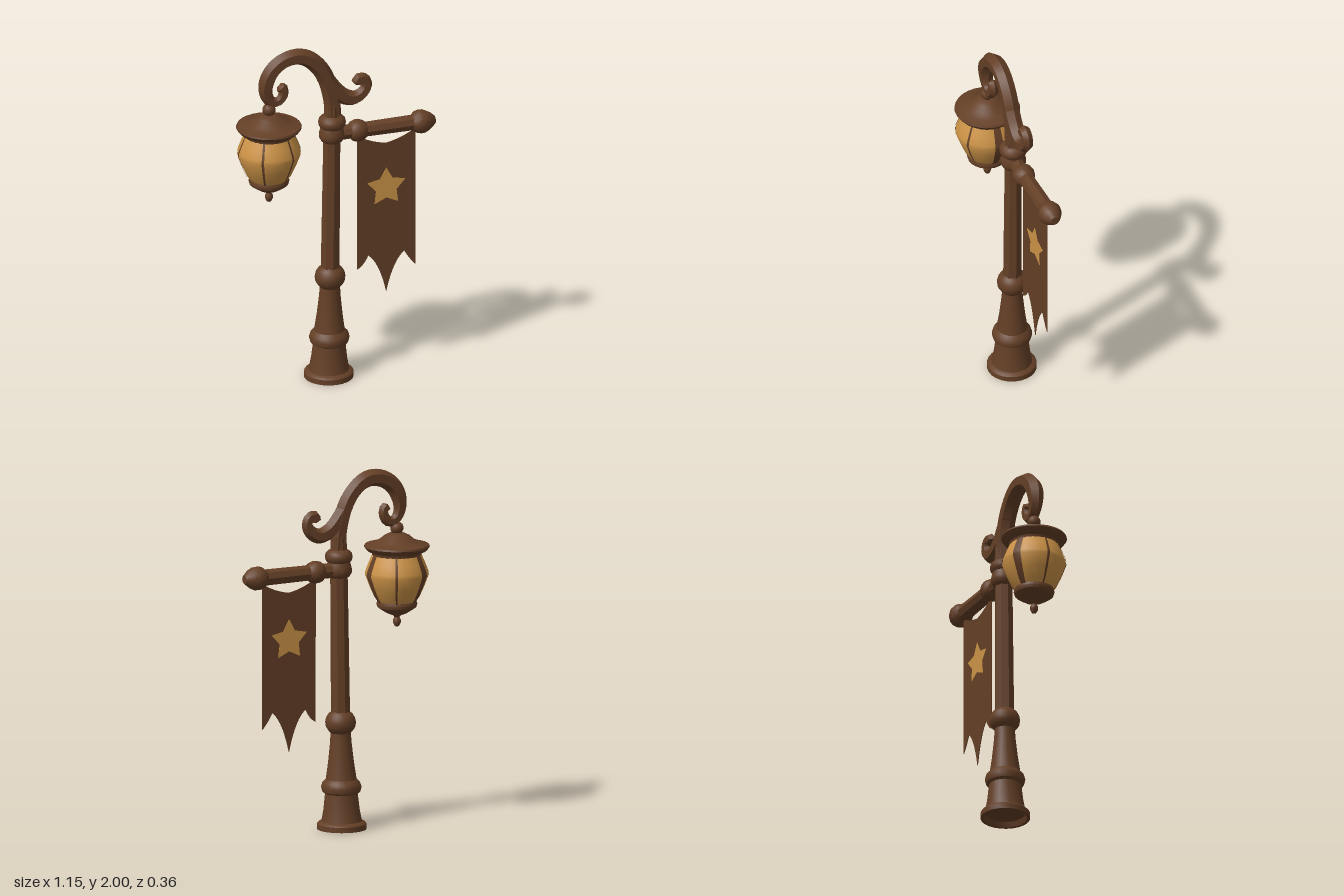
import * as THREE from 'three';
import { toCreasedNormals } from 'three/addons/utils/BufferGeometryUtils.js';

const brown = new THREE.MeshStandardMaterial({ color: 0x643f26, side: THREE.DoubleSide });
brown.name = 'dark brown';
const gold = new THREE.MeshStandardMaterial({ color: 0xcc9347, side: THREE.DoubleSide });
gold.name = 'warm gold';

const CREASE = 0.62;

function part(name, geometry, material = brown) {
  const mesh = new THREE.Mesh(toCreasedNormals(geometry, CREASE), material);
  mesh.name = name;
  return mesh;
}

// Profile of [radius, height] pairs, listed from bottom to top
function turned(profile, sides, start = 0, length = Math.PI * 2) {
  const points = profile.map(([r, y]) => new THREE.Vector2(r, y));
  return new THREE.LatheGeometry(points, sides, start, length);
}

// The post leans very slightly towards +x
function lean(geometry) {
  const p = geometry.attributes.position;
  for (let i = 0; i < p.count; i++) p.setX(i, p.getX(i) - 0.045 + 0.0125 * p.getY(i));
  return geometry;
}

// Six-sided bar swept along a flat curve, with a ridge on its outer edge
function sweep(path, steps, radiusAt) {
  const curve = new THREE.CatmullRomCurve3(path.map(([x, y]) => new THREE.Vector3(x, y, 0)));
  const sides = 6, pos = [], index = [];
  for (let i = 0; i <= steps; i++) {
    const t = i / steps, c = curve.getPointAt(t), d = curve.getTangentAt(t), r = radiusAt(t);
    for (let j = 0; j < sides; j++) {
      const a = (j / sides) * Math.PI * 2, n = Math.cos(a) * r;
      pos.push(c.x - d.y * n, c.y + d.x * n, Math.sin(a) * r);
    }
  }
  for (let i = 0; i < steps; i++) {
    for (let j = 0; j < sides; j++) {
      const a = i * sides + j, b = i * sides + ((j + 1) % sides);
      index.push(a, b, a + sides, b, b + sides, a + sides);
    }
  }
  // Blunt pointed tip
  const tip = curve.getPointAt(1).addScaledVector(curve.getTangentAt(1), 0.015);
  pos.push(tip.x, tip.y, 0);
  for (let j = 0; j < sides; j++) {
    index.push(steps * sides + j, steps * sides + ((j + 1) % sides), (steps + 1) * sides);
  }
  const g = new THREE.BufferGeometry();
  g.setAttribute('position', new THREE.Float32BufferAttribute(pos, 3));
  g.setIndex(index);
  return g;
}

function plate(shape, depth) {
  return new THREE.ExtrudeGeometry(shape, { depth, bevelEnabled: false }).translate(0, 0, -depth / 2);
}

function createPost() {
  const post = new THREE.Group();
  post.name = 'post';
  post.add(part('base', lean(turned([
    [0, 0.03], [0.11, 0.03], [0.12, 0], [0.137, 0], [0.137, 0.03], [0.128, 0.04], [0.112, 0.045],
    [0.1, 0.11], [0.09, 0.2], [0.105, 0.21], [0.112, 0.235], [0.105, 0.26], [0.085, 0.28],
    [0.072, 0.37], [0.06, 0.48], [0.056, 0.54], [0.07, 0.555], [0.082, 0.575], [0.085, 0.6],
    [0.08, 0.625], [0.068, 0.645], [0.05, 0.66],
  ], 24))));
  post.add(part('column', lean(turned([[0.055, 0.6], [0.05, 1.42], [0.046, 1.64], [0, 1.66]], 8))));
  post.add(part('collar', lean(turned([
    [0.045, 1.41], [0.06, 1.42], [0.071, 1.44], [0.072, 1.46], [0.066, 1.485], [0.062, 1.498],
    [0.073, 1.51], [0.077, 1.53], [0.072, 1.55], [0.06, 1.562], [0.045, 1.57],
  ], 24))));
  return post;
}

function createArm() {
  const arm = new THREE.Group();
  arm.name = 'arm';
  arm.add(part('archAndHook', sweep([
    [-0.026, 1.42], [-0.022, 1.59], [-0.035, 1.7], [-0.07, 1.815], [-0.125, 1.895], [-0.185, 1.94],
    [-0.245, 1.952], [-0.32, 1.932], [-0.378, 1.883], [-0.41, 1.815], [-0.41, 1.75], [-0.385, 1.705],
    [-0.345, 1.695], [-0.314, 1.725], [-0.31, 1.765], [-0.327, 1.782],
  ], 56, t => 0.048 - 0.018 * THREE.MathUtils.smoothstep(t, 0.72, 0.9))));
  arm.add(part('rearScroll', sweep([
    [-0.075, 1.815], [-0.035, 1.755], [0.005, 1.705], [0.045, 1.672], [0.098, 1.656],
    [0.147, 1.677], [0.174, 1.72], [0.16, 1.762], [0.128, 1.768], [0.118, 1.745],
  ], 34, t => 0.046 - 0.014 * THREE.MathUtils.smoothstep(t, 0.4, 0.85))));
  return arm;
}

function createLantern() {
  const lantern = new THREE.Group();
  lantern.name = 'lantern';
  lantern.position.x = -0.394;

  const hanger = new THREE.SphereGeometry(0.037, 16, 10).translate(0, 1.655, 0);
  lantern.add(part('hangerBall', hanger));
  lantern.add(part('roof', turned([
    [0, 1.5], [0.135, 1.5], [0.14, 1.52], [0.165, 1.53], [0.182, 1.552], [0.178, 1.562],
    [0.14, 1.57], [0.1, 1.588], [0.07, 1.613], [0.045, 1.625], [0, 1.635],
  ], 28)));

  const glass = [[0.1, 1.235], [0.125, 1.27], [0.152, 1.33], [0.176, 1.395], [0.174, 1.415], [0.155, 1.465], [0.135, 1.51]];
  lantern.add(part('glass', turned(glass, 24), gold));

  // Six upright ribs follow the glass
  const ribProfile = glass.map(([r, y]) => [r + 0.003, y]);
  for (let i = 0; i < 6; i++) {
    const angle = Math.PI / 6 + (i * Math.PI) / 3;
    const width = i === 1 || i === 3 ? 0.28 : 0.08;
    lantern.add(part('rib', turned(ribProfile, 2, angle - width / 2, width)));
  }

  lantern.add(part('bottomCap', turned([
    [0, 1.1], [0.013, 1.105], [0.022, 1.125], [0.022, 1.14], [0.014, 1.155], [0.022, 1.165],
    [0.055, 1.178], [0.09, 1.2], [0.108, 1.213], [0.113, 1.23], [0.108, 1.246], [0.09, 1.25],
  ], 24)));
  return lantern;
}

function createBanner() {
  const banner = new THREE.Group();
  banner.name = 'banner';

  // Crossbar parts are turned upright, then laid along x
  const along = (profile, sides) => turned(profile, sides).rotateZ(-Math.PI / 2).translate(0, 1.455, 0);
  banner.add(part('crossbar', along([[0.042, -0.03], [0.046, 0.47]], 8)));
  banner.add(part('barRing', along([
    [0.042, 0.078], [0.055, 0.09], [0.062, 0.11], [0.063, 0.13], [0.055, 0.155], [0.044, 0.17],
  ], 16)));
  banner.add(part('barKnob', along([
    [0.044, 0.44], [0.06, 0.46], [0.067, 0.485], [0.065, 0.51], [0.053, 0.535], [0.043, 0.55], [0.024, 0.572], [0, 0.572],
  ], 12)));

  // Cloth with a sagging top and a three-pointed hem
  const cloth = new THREE.Shape();
  cloth.moveTo(0.12, 1.42);
  cloth.quadraticCurveTo(0.2, 1.37, 0.29, 1.355);
  cloth.quadraticCurveTo(0.38, 1.37, 0.46, 1.42);
  cloth.lineTo(0.46, 0.6);
  cloth.quadraticCurveTo(0.425, 0.635, 0.395, 0.69);
  cloth.quadraticCurveTo(0.33, 0.64, 0.29, 0.46);
  cloth.quadraticCurveTo(0.25, 0.64, 0.185, 0.69);
  cloth.quadraticCurveTo(0.16, 0.635, 0.122, 0.615);
  cloth.closePath();
  banner.add(part('cloth', plate(cloth, 0.004)));

  // Star shows on both faces of the cloth
  const star = new THREE.Shape();
  for (let i = 0; i < 10; i++) {
    const a = Math.PI / 2 + (i * Math.PI) / 5, r = i % 2 ? 0.063 : 0.117;
    star[i ? 'lineTo' : 'moveTo'](0.29 + r * Math.cos(a), 1.09 + r * Math.sin(a));
  }
  star.closePath();
  banner.add(part('star', plate(star, 0.009), gold));
  return banner;
}

export function createModel() {
  const model = new THREE.Group();
  model.name = 'streetLamp';
  model.add(createPost(), createArm(), createLantern(), createBanner());
  return model;
}
